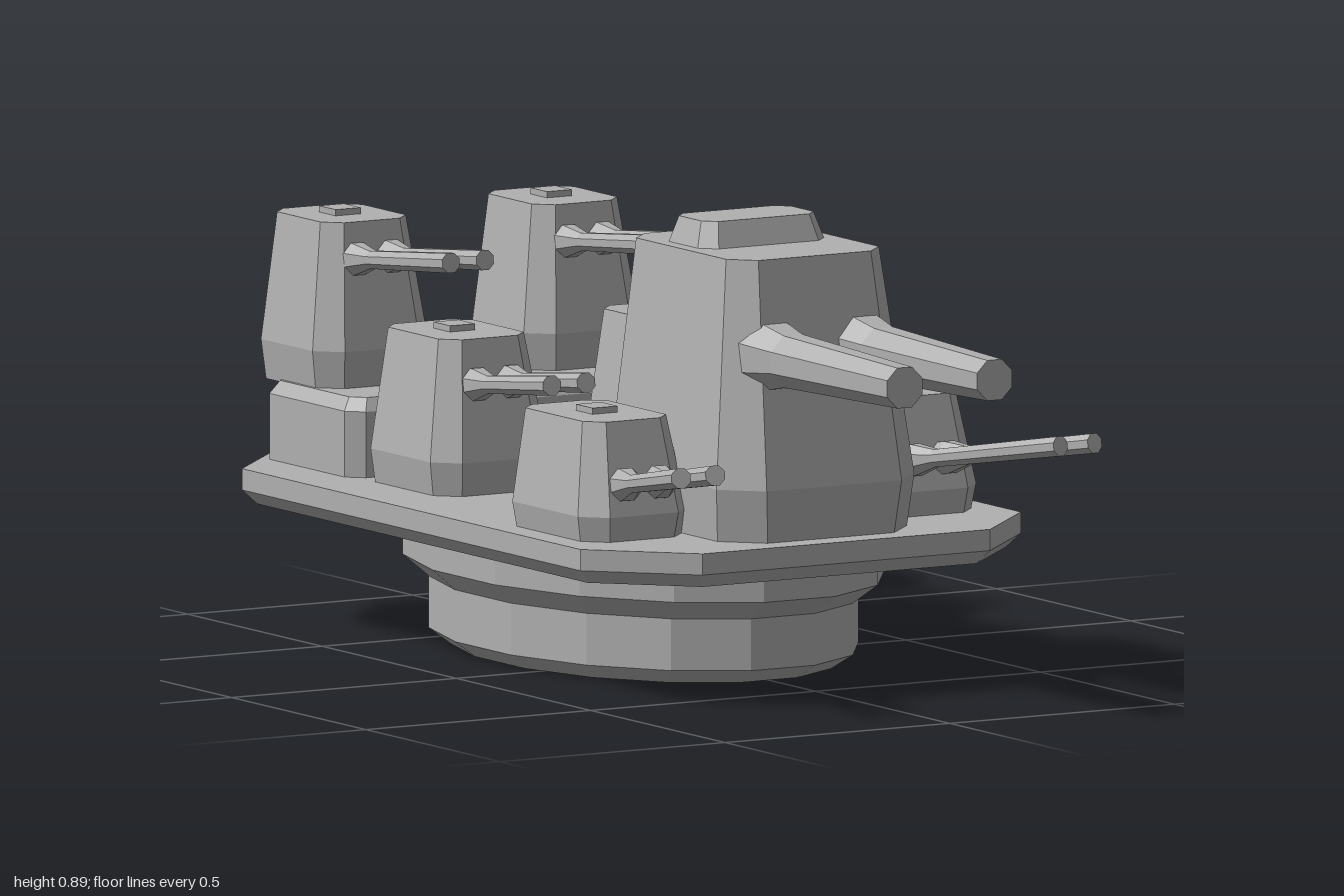
import * as THREE from 'three';

const grey = new THREE.MeshStandardMaterial({ color: 0xb0b0b0 });
grey.name = 'armour grey';

// Unshared vertices give every facet its own normal.
function flat(geometry) {
  const g = geometry.index ? geometry.toNonIndexed() : geometry;
  g.computeVertexNormals();
  return g;
}

function add(parent, geometry, name) {
  const mesh = new THREE.Mesh(flat(geometry), grey);
  mesh.name = name;
  parent.add(mesh);
  return mesh;
}

// Rectangle with cut corners: half width, back z, front z, front cut, back cut.
function ring(y, w, z0, z1, c, cb = c) {
  return [
    [-w + c, y, z1], [w - c, y, z1], [w, y, z1 - c], [w, y, z0 + cb],
    [w - cb, y, z0], [-w + cb, y, z0], [-w, y, z0 + cb], [-w, y, z1 - c],
  ];
}

// Closed solid through a stack of eight-cornered rings.
function loft(rings) {
  const n = 8, index = [], top = (rings.length - 1) * n;
  for (let r = 0; r < rings.length - 1; r++) {
    for (let i = 0; i < n; i++) {
      const a = r * n + i, b = r * n + (i + 1) % n;
      index.push(a, b, b + n, a, b + n, a + n);
    }
  }
  for (let i = 1; i < n - 1; i++) {
    index.push(0, i + 1, i, top, top + i, top + i + 1);
  }
  const g = new THREE.BufferGeometry();
  g.setAttribute('position', new THREE.Float32BufferAttribute(rings.flat(2), 3));
  g.setIndex(index);
  return g;
}

// Solid of revolution about y, with flat sides facing the axes.
function turned(profile, sides) {
  const points = profile.map(([r, y]) => new THREE.Vector2(r / Math.cos(Math.PI / sides), y));
  return new THREE.LatheGeometry(points, sides).rotateY(Math.PI / sides);
}

// Gun barrel along +z, flared where it meets the turret.
function barrel(length, rMuzzle, rNeck, rCollar, flare) {
  return turned([
    [0, -flare], [rCollar, -flare], [rCollar, 0], [rNeck, flare], [rMuzzle, length], [0, length],
  ], 8).rotateX(Math.PI / 2);
}

// Small twin-gun turret; root and tip give the line of the gun pair.
function smallTurret(side, t) {
  const group = new THREE.Group();
  group.name = t.name;
  group.position.x = side * t.x;
  const [b0, b1] = t.wide, [t0, t1] = t.top;
  add(group, loft([
    ring(t.y0, t.w - 0.01, b0 + 0.007, b1 - 0.01, 0.04),
    ring(t.y0 + 0.24 * (t.y1 - t.y0), t.w, b0, b1, 0.045),
    ring(t.y1, t.wTop, t0, t1, 0.033),
  ]), 'turretBody');
  const hatch = add(group, new THREE.BoxGeometry(0.056, 0.024, 0.062), 'hatch');
  hatch.position.set(0, t.y1, t.hatchZ);

  const root = new THREE.Vector3(0, ...t.root);
  const tip = new THREE.Vector3(side * t.spread, ...t.tip);
  const length = root.distanceTo(tip);
  for (const s of [-1, 1]) {
    const gun = add(group, barrel(length, 0.019, 0.017, 0.031, 0.055), 'gunBarrel');
    gun.position.copy(root);
    gun.position.x += s * 0.038;
    gun.quaternion.setFromUnitVectors(new THREE.Vector3(0, 0, 1), tip.clone().sub(root).normalize());
  }
  return group;
}

export function createModel() {
  const model = new THREE.Group();
  model.name = 'gunPlatform';

  // Stepped oval pedestal
  const base = turned([
    [0, 0], [0.32, 0], [0.357, 0.03], [0.357, 0.13], [0.4, 0.17], [0.4, 0.25], [0, 0.25],
  ], 16).scale(1, 1, 1.455).translate(0, 0, -0.14);
  add(model, base, 'pedestal');

  // Deck with a chamfered lower edge
  add(model, loft([
    ring(0.235, 0.465, -0.96, 0.59, 0.16),
    ring(0.262, 0.49, -0.985, 0.615, 0.17),
    ring(0.303, 0.49, -0.985, 0.615, 0.17),
  ]), 'deck');

  // Raised rear platform
  add(model, loft([
    ring(0.295, 0.38, -0.977, -0.588, 0.03, 0.08),
    ring(0.43, 0.38, -0.977, -0.588, 0.03, 0.08),
    ring(0.455, 0.362, -0.962, -0.605, 0.025, 0.075),
  ]), 'rearPlatform');

  // Main turret with its roof block and two heavy guns
  const main = new THREE.Group();
  main.name = 'mainTurret';
  model.add(main);
  add(main, loft([
    ring(0.295, 0.21, 0.04, 0.557, 0.07),
    ring(0.405, 0.22, 0.03, 0.57, 0.07),
    ring(0.84, 0.17, 0.072, 0.497, 0.045),
  ]), 'mainTurretBody');
  add(main, loft([
    ring(0.835, 0.142, 0.158, 0.328, 0.03),
    ring(0.89, 0.125, 0.177, 0.308, 0.024),
  ]), 'roofBlock');
  for (const s of [-1, 1]) {
    const gun = add(main, barrel(0.495, 0.039, 0.05, 0.066, 0.08), 'mainGunBarrel');
    gun.position.set(s * 0.1, 0.655, 0.505);
  }

  // Three mirrored pairs of smaller turrets
  const turrets = [
    { name: 'frontTurret', x: 0.322, y0: 0.295, y1: 0.53, w: 0.121, wTop: 0.093,
      wide: [0.068, 0.402], top: [0.082, 0.36], hatchZ: 0.225,
      root: [0.413, 0.4], tip: [0.478, 0.77], spread: 0.1 },
    { name: 'middleTurret', x: 0.24, y0: 0.295, y1: 0.6, w: 0.131, wTop: 0.095,
      wide: [-0.58, -0.268], top: [-0.563, -0.31], hatchZ: -0.443,
      root: [0.515, -0.29], tip: [0.555, 0.035], spread: 0.03 },
    { name: 'rearTurret', x: 0.235, y0: 0.45, y1: 0.77, w: 0.129, wTop: 0.095,
      wide: [-1, -0.718], top: [-0.985, -0.758], hatchZ: -0.877,
      root: [0.7, -0.745], tip: [0.735, -0.4], spread: 0 },
  ];
  for (const t of turrets) {
    for (const side of [-1, 1]) model.add(smallTurret(side, t));
  }
  return model;
}
